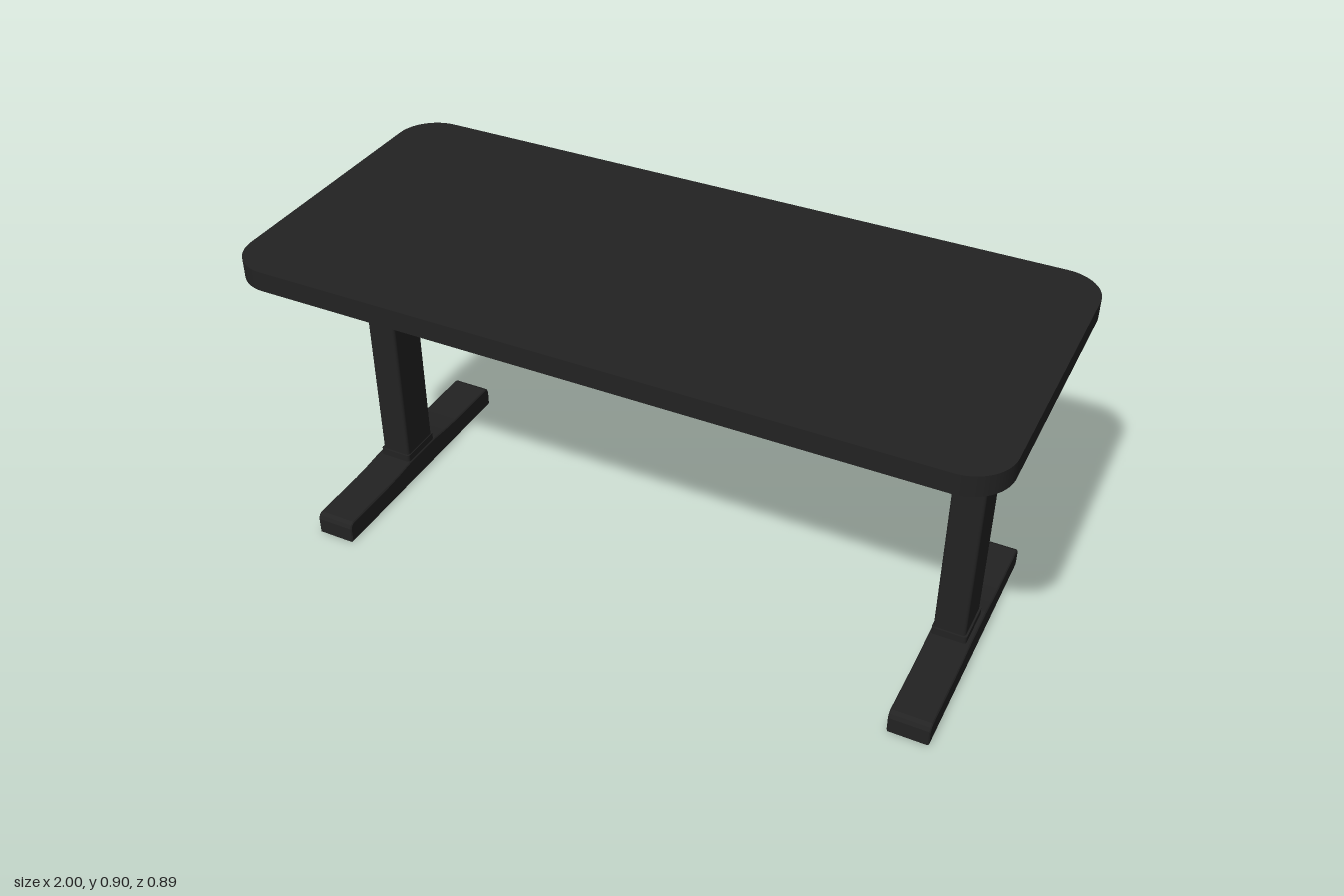
import * as THREE from 'three';

const black = new THREE.MeshStandardMaterial({ color: 0x222222 });
black.name = 'matteBlack';

// Rounded rectangle in the shape plane
function roundedRect(w, h, r) {
  const s = new THREE.Shape(), x = w / 2, y = h / 2;
  s.moveTo(-x + r, -y);
  s.lineTo(x - r, -y);
  s.absarc(x - r, -y + r, r, -Math.PI / 2, 0);
  s.absarc(x - r, y - r, r, 0, Math.PI / 2);
  s.absarc(-x + r, y - r, r, Math.PI / 2, Math.PI);
  s.absarc(-x + r, -y + r, r, Math.PI, Math.PI * 1.5);
  return s;
}

// Upright slab from y0 to y1 with rounded vertical edges
function slab(name, w, d, r, y0, y1, x = 0) {
  const g = new THREE.ExtrudeGeometry(roundedRect(w, d, r), { depth: y1 - y0, bevelEnabled: false, curveSegments: 10 });
  g.rotateX(-Math.PI / 2).translate(x, y0, 0);
  const mesh = new THREE.Mesh(g, black);
  mesh.name = name;
  return mesh;
}

// Side profile of (z, y) points for z >= 0, mirrored in z and extruded from x0 to x1
function profile(name, half, x0, x1) {
  const mirrored = half.map(([z, y]) => [-z, y]).reverse();
  const pts = [...half, ...mirrored].map(([z, y]) => new THREE.Vector2(z, y));
  const bevel = 0.003;
  const g = new THREE.ExtrudeGeometry(new THREE.Shape(pts), {
    depth: x1 - x0 - 2 * bevel, bevelThickness: bevel, bevelSize: bevel, bevelOffset: -bevel, bevelSegments: 1,
  });
  g.rotateY(-Math.PI / 2).translate(x1 - bevel, 0, 0);
  const mesh = new THREE.Mesh(g, black);
  mesh.name = name;
  return mesh;
}

// One T-shaped leg on the +x side; side = -1 mirrors the positions
function makeLeg(side) {
  const leg = new THREE.Group();
  leg.name = side > 0 ? 'leftLeg' : 'rightLeg';
  const span = (a, b) => (side > 0 ? [a, b] : [-b, -a]);

  // Foot with rounded ends and a slight rise under the column
  leg.add(profile('foot', [
    [0.368, 0], [0.368, 0.046], [0.363, 0.057], [0.352, 0.063],
    [0.18, 0.063], [0.12, 0.066], [0.07, 0.071],
  ], ...span(0.792, 0.902)));

  // Collar and column
  leg.add(slab('collar', 0.094, 0.132, 0.008, 0.066, 0.092, side * 0.843));
  leg.add(slab('column', 0.086, 0.122, 0.008, 0.06, 0.80, side * 0.842));

  // Flared head under the top
  leg.add(profile('columnHead', [
    [0.06, 0.738], [0.105, 0.757], [0.125, 0.769], [0.132, 0.782], [0.132, 0.852],
  ], ...span(0.796, 0.887)));

  // Support arm running front to back
  leg.add(profile('supportArm', [
    [0.13, 0.79], [0.19, 0.789], [0.21, 0.779], [0.355, 0.778],
    [0.365, 0.782], [0.368, 0.79], [0.368, 0.845], [0.362, 0.852],
  ], ...span(0.764, 0.881)));
  return leg;
}

export function createModel() {
  const desk = new THREE.Group();
  desk.name = 'desk';
  desk.add(slab('tabletop', 2, 0.894, 0.11, 0.849, 0.904));
  desk.add(makeLeg(1), makeLeg(-1));
  return desk;
}
